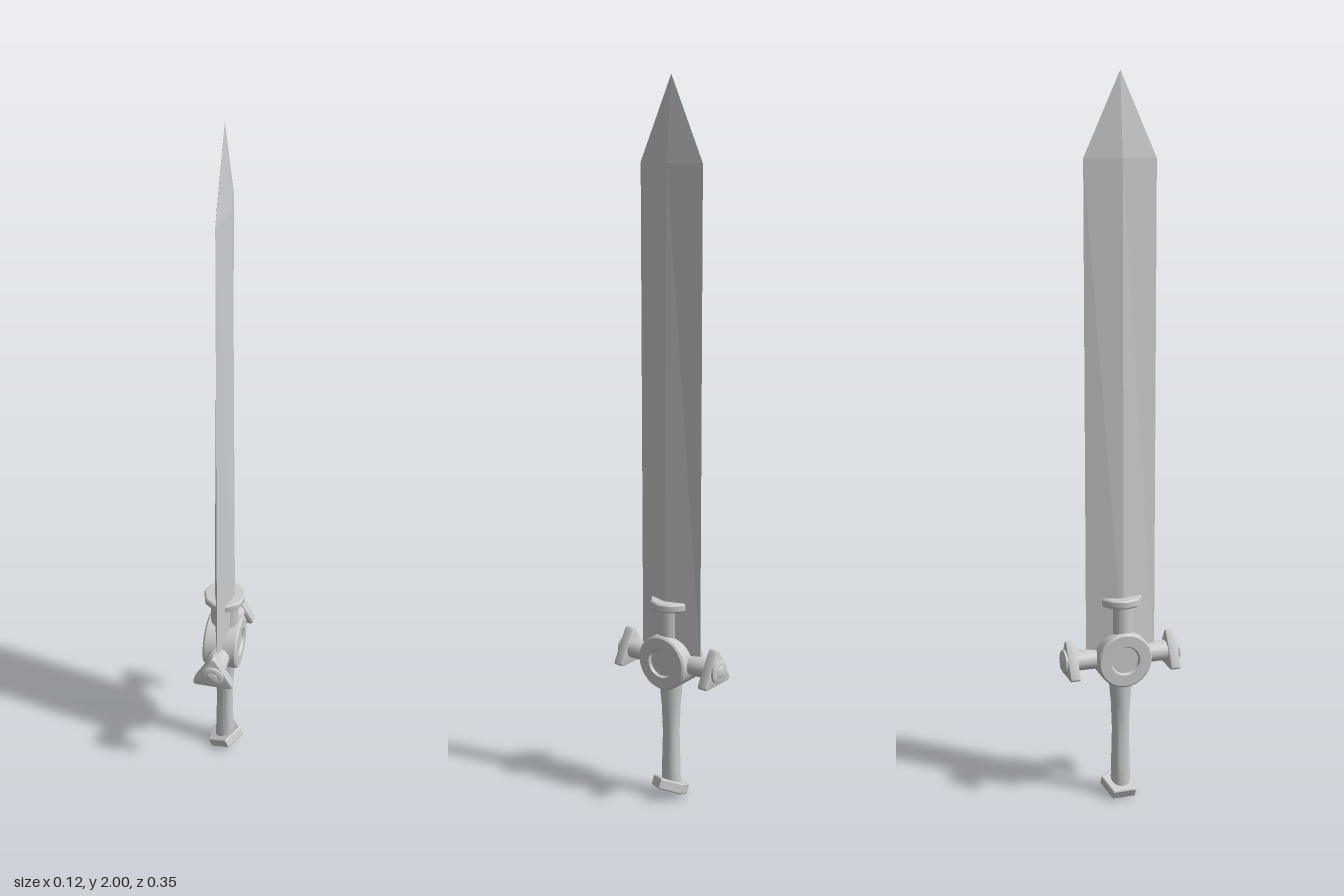
import * as THREE from 'three';
import { toCreasedNormals } from 'three/addons/utils/BufferGeometryUtils.js';

const HUB_Y = 0.42;

export function createModel() {
  const group = new THREE.Group();
  const smooth = new THREE.MeshStandardMaterial({ color: 0xcccccc });
  const flat = new THREE.MeshStandardMaterial({ color: 0xcccccc, flatShading: true });

  function add(name, geometry, material = smooth, parent = group) {
    const mesh = new THREE.Mesh(geometry, material);
    mesh.name = name;
    parent.add(mesh);
    return mesh;
  }

  // Turned part from [radius, height] pairs, bottom to top, with crisp edges
  function turned(profile, sides, crease = 0.6) {
    const points = profile.map(([r, y]) => new THREE.Vector2(r, y));
    return toCreasedNormals(new THREE.LatheGeometry(points, sides), crease);
  }

  // Blade: diamond section, thinner toward the tip
  const blade = turned([[0, 0.43], [1, 0.43], [1, 1.78], [0, 2]], 4);
  const pos = blade.attributes.position;
  for (let i = 0; i < pos.count; i++) {
    const taper = THREE.MathUtils.mapLinear(Math.min(pos.getY(i), 1.78), 0.43, 1.78, 0.031, 0.02);
    pos.setX(i, pos.getX(i) * taper);
    pos.setZ(i, pos.getZ(i) * 0.1);
  }
  add('blade', blade, flat);

  // Round hub lying across the sword, with a shallow dish in each face
  const hub = add('hub', turned([
    [0, -0.042], [0.038, -0.042], [0.042, -0.05], [0.073, -0.05], [0.078, -0.045],
    [0.078, 0.045], [0.073, 0.05], [0.042, 0.05], [0.038, 0.042], [0, 0.042],
  ], 28));
  hub.rotation.z = Math.PI / 2;
  hub.position.y = HUB_Y;

  // Collar around the blade root, with a ten-sided plate on top
  const stem = add('collarStem', new THREE.CylinderGeometry(0.034, 0.034, 0.12, 20));
  stem.scale.x = 1.2;
  stem.position.y = 0.52;
  const plate = turned([
    [0, 0.573], [0.056, 0.573], [0.06, 0.577], [0.06, 0.593], [0.056, 0.597], [0, 0.597],
  ], 10, 0.7);
  plate.rotateY(Math.PI / 2);
  add('collarPlate', plate);

  // Rounded triangular plate, point up
  const triangle = new THREE.Shape();
  const corners = [90, 210, 330].map((deg) => {
    const a = THREE.MathUtils.degToRad(deg);
    return new THREE.Vector2(Math.cos(a) * 0.068, Math.sin(a) * 0.068);
  });
  corners.forEach((c, i) => {
    const before = c.clone().lerp(corners[(i + 2) % 3], 0.12);
    const after = c.clone().lerp(corners[(i + 1) % 3], 0.12);
    if (i === 0) triangle.moveTo(before.x, before.y);
    else triangle.lineTo(before.x, before.y);
    triangle.quadraticCurveTo(c.x, c.y, after.x, after.y);
  });
  triangle.closePath();
  const endPlate = toCreasedNormals(new THREE.ExtrudeGeometry(triangle, {
    depth: 0.022, bevelThickness: 0.003, bevelSize: 0.003, bevelSegments: 2, curveSegments: 5,
  }), 0.6);

  // Guard arms to the front and back, each with an end plate and a domed boss
  for (const side of [1, -1]) {
    const arm = new THREE.Group();
    arm.name = side > 0 ? 'frontGuardArm' : 'backGuardArm';
    arm.position.y = HUB_Y;
    arm.rotation.y = side > 0 ? 0 : Math.PI;
    group.add(arm);

    const bar = add('guardBar', new THREE.CylinderGeometry(0.032, 0.032, 0.12, 20), smooth, arm);
    bar.rotation.x = Math.PI / 2;
    bar.scale.z = 0.88;
    bar.position.z = 0.08;

    add('guardPlate', endPlate, smooth, arm).position.set(0, -0.005, 0.135);

    const boss = add('guardBoss', turned([
      [0.033, 0.155], [0.033, 0.166], [0.028, 0.169], [0.018, 0.169], [0.014, 0.172], [0, 0.173],
    ], 20), smooth, arm);
    boss.rotation.x = Math.PI / 2;
  }

  // Grip, waisted below the hub
  add('grip', turned([
    [0, 0.035], [0.028, 0.035], [0.026, 0.12], [0.024, 0.2], [0.027, 0.28], [0.034, 0.36], [0, 0.36],
  ], 16));

  // Five-sided pommel, tilted up toward one side
  const pommelShape = turned([
    [0, -0.015], [0.052, -0.015], [0.055, -0.012], [0.055, 0.012], [0.052, 0.015], [0, 0.015],
  ], 5);
  pommelShape.rotateY(Math.PI / 2);
  const pommel = add('pommel', pommelShape, flat);
  pommel.position.set(0.003, 0.033, 0);
  pommel.rotation.z = 0.43;

  return group;
}
